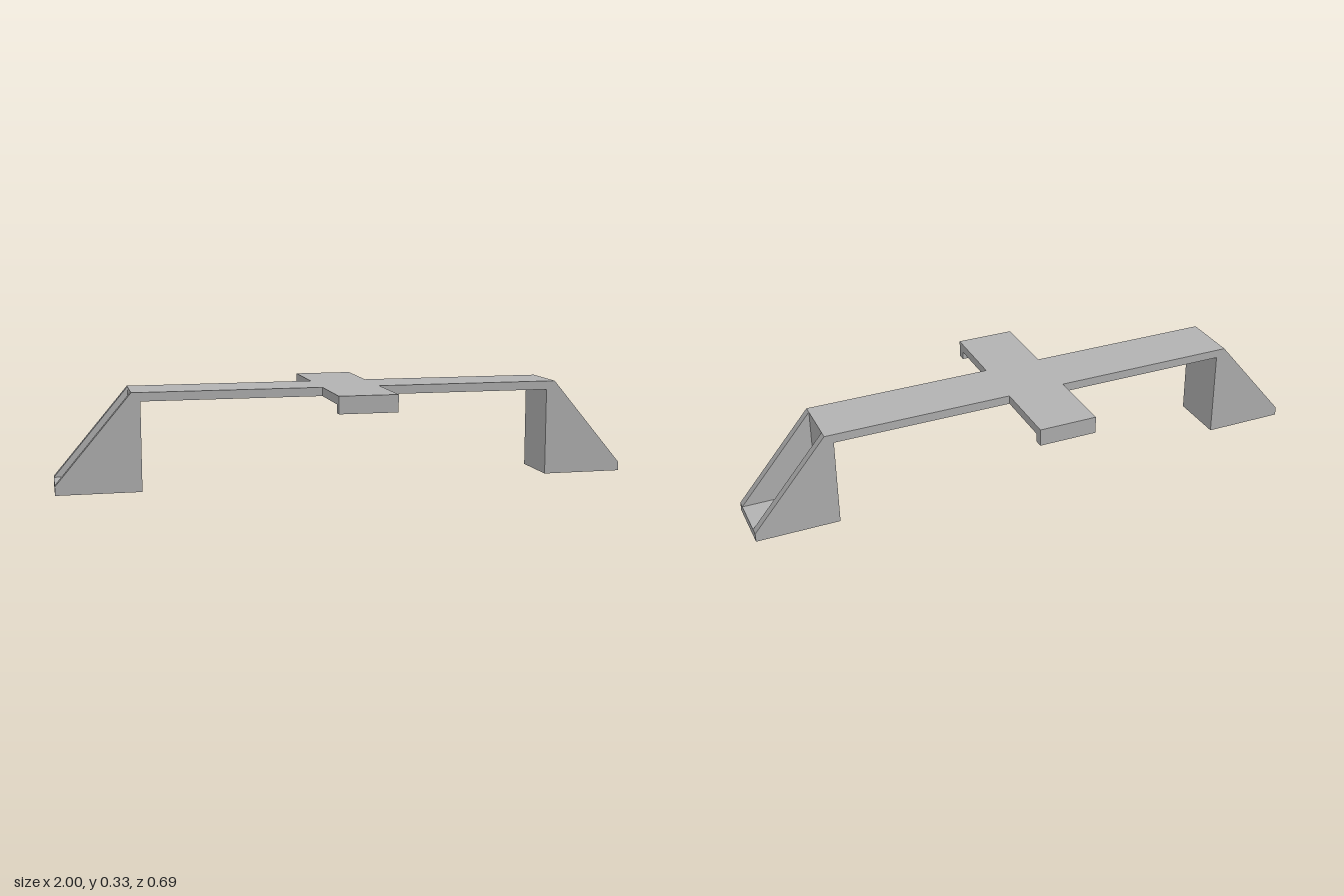
import * as THREE from 'three';

const TOP = 0.334, T = 0.03, HALF_W = 0.1, WALL_IN = 0.715, WALL_OUT = 0.745;

export function createModel() {
  const model = new THREE.Group();
  model.name = 'mountingBracket';
  const grey = new THREE.MeshStandardMaterial({ color: 0xb2b2b2 });
  grey.name = 'grey plastic';

  const add = (parent, name, geometry) => {
    const mesh = new THREE.Mesh(geometry, grey);
    mesh.name = name;
    parent.add(mesh);
    return mesh;
  };
  const box = (parent, name, x0, x1, y0, y1, z0, z1) =>
    add(parent, name, new THREE.BoxGeometry(x1 - x0, y1 - y0, z1 - z0))
      .position.set((x0 + x1) / 2, (y0 + y1) / 2, (z0 + z1) / 2);
  const shapeOf = (pts) => new THREE.Shape(pts.map(([x, y]) => new THREE.Vector2(x, y)));
  const plate = (shape, depth) =>
    new THREE.ExtrudeGeometry(shape, { depth, bevelEnabled: false, curveSegments: 16 });

  // Cross-shaped deck
  const w = HALF_W, l = WALL_OUT, a = 0.347;
  const cross = shapeOf([
    [-l, -w], [-w, -w], [-w, -a], [w, -a], [w, -w], [l, -w],
    [l, w], [w, w], [w, a], [-w, a], [-w, w], [-l, w],
  ]);
  add(model, 'deck', plate(cross, T).rotateX(-Math.PI / 2)).position.y = TOP - T;

  // Downturned lips at the ends of the short arms
  box(model, 'frontLip', -w, w, 0.275, TOP - T, a - 0.028, a);
  box(model, 'backLip', -w, w, 0.275, TOP - T, -a, -a + 0.028);

  // A foot at each end: drilled base, upright wall and two sloping gussets
  for (const [name, turn] of [['leftFoot', 0], ['rightFoot', Math.PI]]) {
    const foot = new THREE.Group();
    foot.name = name;
    foot.rotation.y = turn;

    const base = shapeOf([[WALL_IN, -w], [1, -w], [1, w], [WALL_IN, w]]);
    base.holes.push(new THREE.Path().absarc(0.9, 0, 0.026, 0, Math.PI * 2, true));
    add(foot, 'base', plate(base, T).rotateX(-Math.PI / 2));

    box(foot, 'wall', WALL_IN, WALL_OUT, T, TOP - T, -w, w);

    const gusset = shapeOf([[WALL_OUT, T], [1, T], [WALL_OUT, TOP]]);
    for (const z of [-w, w - 0.028]) add(foot, 'gusset', plate(gusset, 0.028)).position.z = z;
    model.add(foot);
  }
  return model;
}
